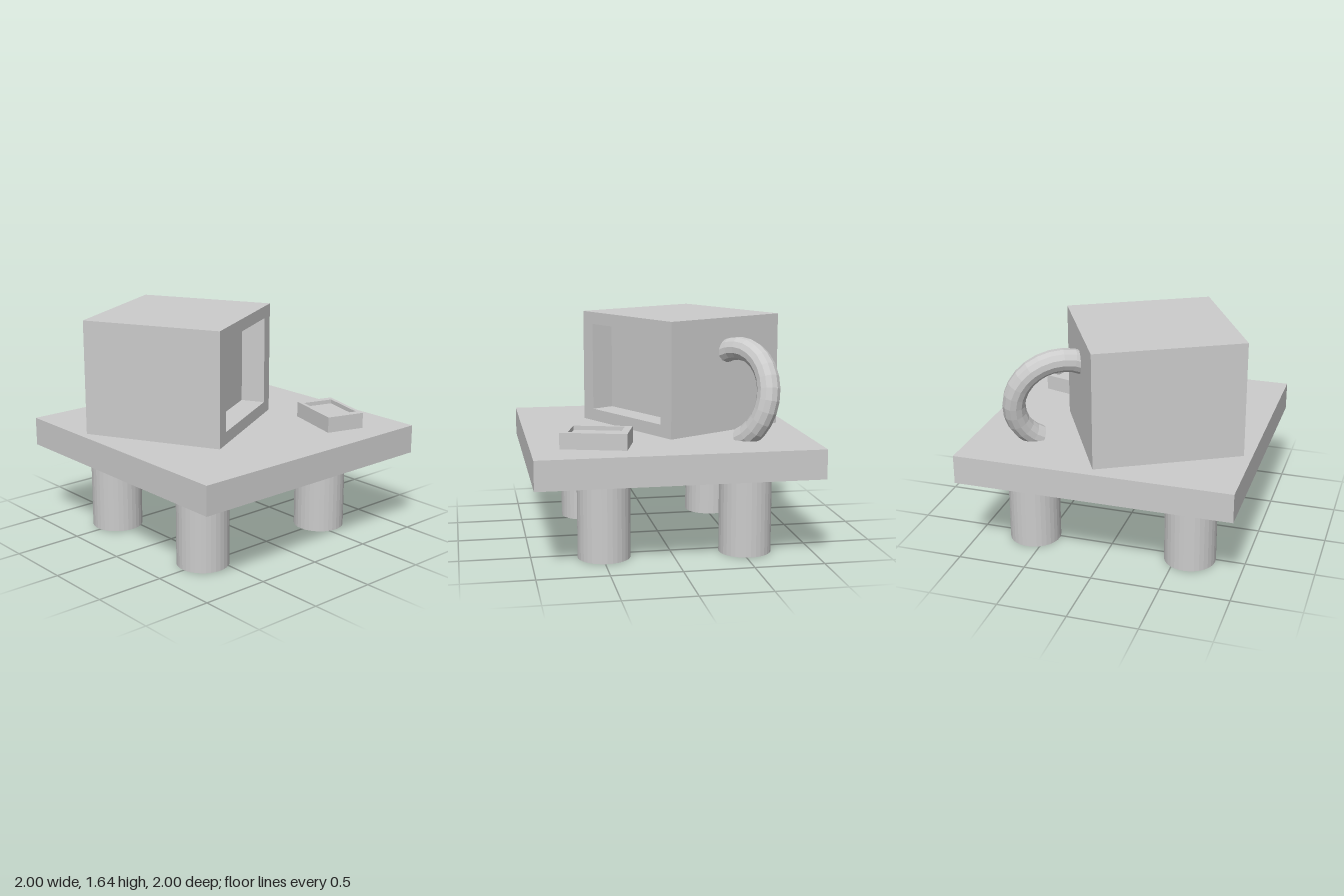
import * as THREE from 'three';

const material = new THREE.MeshStandardMaterial({ color: 0xcccccc, flatShading: true, side: THREE.DoubleSide });

function addMesh(parent, name, geometry, x = 0, y = 0, z = 0) {
  const mesh = new THREE.Mesh(geometry, material);
  mesh.name = name;
  mesh.position.set(x, y, z);
  parent.add(mesh);
  return mesh;
}

// A block with a rectangular recess in its +z face; its back lies on z = 0
function recessedBlock(name, w, h, d, openW, openH, recess) {
  const rect = (Type, a, b) => new Type([
    new THREE.Vector2(-a / 2, -b / 2), new THREE.Vector2(a / 2, -b / 2),
    new THREE.Vector2(a / 2, b / 2), new THREE.Vector2(-a / 2, b / 2),
  ]);
  const shape = rect(THREE.Shape, w, h);
  shape.holes.push(rect(THREE.Path, openW, openH));
  const group = new THREE.Group();
  group.name = name;
  group.rotation.order = 'YXZ';
  addMesh(group, name + 'Shell', new THREE.ExtrudeGeometry(shape, { depth: d, bevelEnabled: false }));
  addMesh(group, name + 'Panel', new THREE.BoxGeometry(openW, openH, d - recess), 0, 0, (d - recess) / 2);
  return group;
}

export function createModel() {
  const model = new THREE.Group();
  model.name = 'tableWithBox';

  // Table top and four round legs
  addMesh(model, 'tableTop', new THREE.BoxGeometry(2, 0.21, 2), 0, 0.705, 0);
  const legGeometry = new THREE.CylinderGeometry(0.188, 0.188, 0.6, 32);
  for (const [x, z] of [[-0.53, 0.6], [0.485, 0.6], [-0.53, -0.59], [0.485, -0.56]]) {
    addMesh(model, 'leg', legGeometry, x, 0.3, z);
  }

  // Large box, turned on the table, with its open face to the side
  const turn = 2.065;
  const depth = 1.03;
  const box = recessedBlock('box', 1.07, 0.835, depth, 0.83, 0.655, 0.18);
  box.rotation.y = turn;
  box.position.set(-0.21 - Math.sin(turn) * depth / 2, 1.2275, 0.225 - Math.cos(turn) * depth / 2);
  model.add(box);

  // Small tray lying flat in the back corner
  const tray = recessedBlock('tray', 0.468, 0.291, 0.115, 0.361, 0.234, 0.03);
  tray.rotation.set(-Math.PI / 2, -0.281, 0);
  tray.position.set(0.535, 0.81, -0.6);
  model.add(tray);

  // Half-ring handle, leaning, from the back of the box down to the table
  const handle = addMesh(model, 'handle', new THREE.TorusGeometry(0.333, 0.083, 12, 14, Math.PI * 1.02));
  const outward = new THREE.Vector3(-0.53, 0, -0.848).normalize();
  const normal = new THREE.Vector3(-0.83, -0.203, 0.519).normalize();
  const up = new THREE.Vector3().crossVectors(normal, outward).normalize();
  handle.quaternion.setFromRotationMatrix(new THREE.Matrix4().makeBasis(outward, up, normal));
  handle.rotateZ(THREE.MathUtils.degToRad(up.y > 0 ? -66 : -118));
  handle.position.set(-0.488, 1.105, -0.384);

  return model;
}
